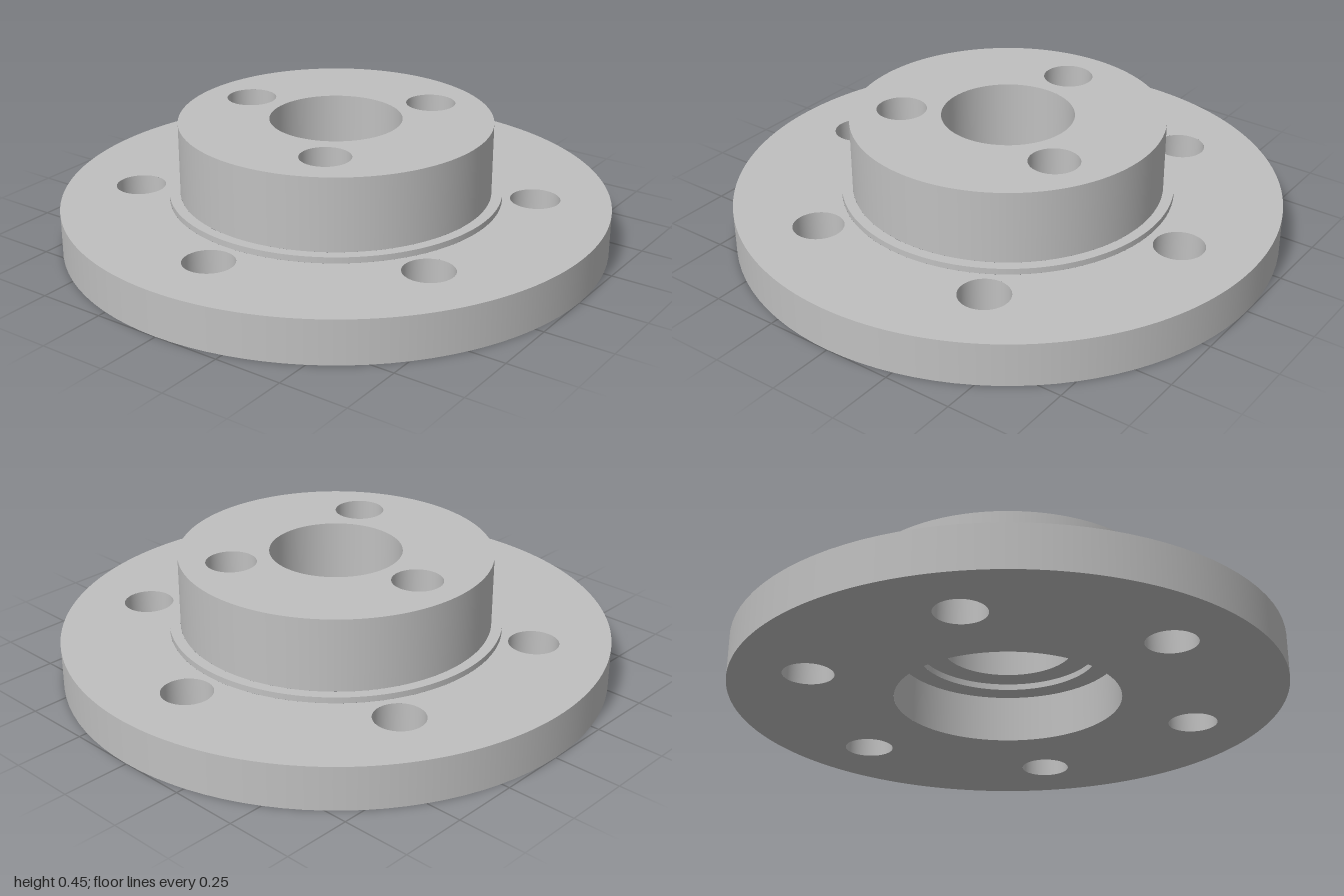
import * as THREE from 'three';

const SEGMENTS = 96;

// Dimensions: radii and heights
const RIM = 1, STEP = 0.607, HUB = 0.568, BORE = 0.24, COUNTERBORE = 0.41, RECESS = 0.33;
const FLANGE_TOP = 0.16, STEP_TOP = 0.182, HUB_TOP = 0.45;
const COUNTERBORE_TOP = 0.177, RECESS_TOP = 0.2, POCKET_FLOOR = 0.25;
const HOLE = 0.091;

// Points evenly spaced on a circle, as [x, z]
function ring(count, radius, start) {
  return Array.from({ length: count }, (_, i) => {
    const a = start + (i * Math.PI * 2) / count;
    return [radius * Math.cos(a), radius * Math.sin(a)];
  });
}

export function createModel() {
  const group = new THREE.Group();
  const steel = new THREE.MeshStandardMaterial({ color: 0xc0c0c0 });
  steel.name = 'grey steel';

  function add(name, geometry, x = 0, z = 0) {
    const mesh = new THREE.Mesh(geometry, steel);
    mesh.name = name;
    mesh.position.set(x, 0, z);
    group.add(mesh);
  }

  // Round wall: faces outward when y0 < y1, inward when y0 > y1
  function wall(name, r, y0, y1, x, z) {
    const profile = [new THREE.Vector2(r, y0), new THREE.Vector2(r, y1)];
    add(name, new THREE.LatheGeometry(profile, SEGMENTS), x, z);
  }

  // Flat round face with a central opening and smaller holes; dir is 1 up, -1 down
  function face(name, outer, inner, y, dir, holes = []) {
    const shape = new THREE.Shape().absarc(0, 0, outer, 0, Math.PI * 2);
    for (const [x, z, r] of [[0, 0, inner], ...holes.map(([x, z]) => [x, z, HOLE])]) {
      shape.holes.push(new THREE.Path().absarc(x, -dir * z, r, 0, Math.PI * 2, true));
    }
    const geometry = new THREE.ShapeGeometry(shape, SEGMENTS);
    geometry.rotateX((-dir * Math.PI) / 2).translate(0, y, 0);
    add(name, geometry);
  }

  const bolts = ring(6, 0.727, 0);
  const pockets = ring(3, 0.386, -Math.PI / 2);

  // Flange with six through holes
  face('flangeBottom', RIM, COUNTERBORE, 0, -1, bolts);
  wall('flangeRim', RIM, 0, FLANGE_TOP);
  face('flangeTop', RIM, STEP, FLANGE_TOP, 1, bolts);
  for (const [x, z] of bolts) wall('boltHole', HOLE, FLANGE_TOP, 0, x, z);

  // Thin step around the hub
  wall('stepRim', STEP, FLANGE_TOP, STEP_TOP);
  face('stepTop', STEP, HUB, STEP_TOP, 1);

  // Hub with three blind pockets
  wall('hubSide', HUB, STEP_TOP, HUB_TOP);
  face('hubTop', HUB, BORE, HUB_TOP, 1, pockets);
  for (const [x, z] of pockets) {
    wall('pocketWall', HOLE, HUB_TOP, POCKET_FLOOR, x, z);
    const floor = new THREE.CircleGeometry(HOLE, SEGMENTS);
    floor.rotateX(-Math.PI / 2).translate(0, POCKET_FLOOR, 0);
    add('pocketFloor', floor, x, z);
  }

  // Central bore, widening below into a shallow recess and a counterbore
  wall('boreWall', BORE, HUB_TOP, RECESS_TOP);
  face('recessLedge', RECESS, BORE, RECESS_TOP, -1);
  wall('recessWall', RECESS, RECESS_TOP, COUNTERBORE_TOP);
  face('counterboreLedge', COUNTERBORE, RECESS, COUNTERBORE_TOP, -1);
  wall('counterboreWall', COUNTERBORE, COUNTERBORE_TOP, 0);

  return group;
}
